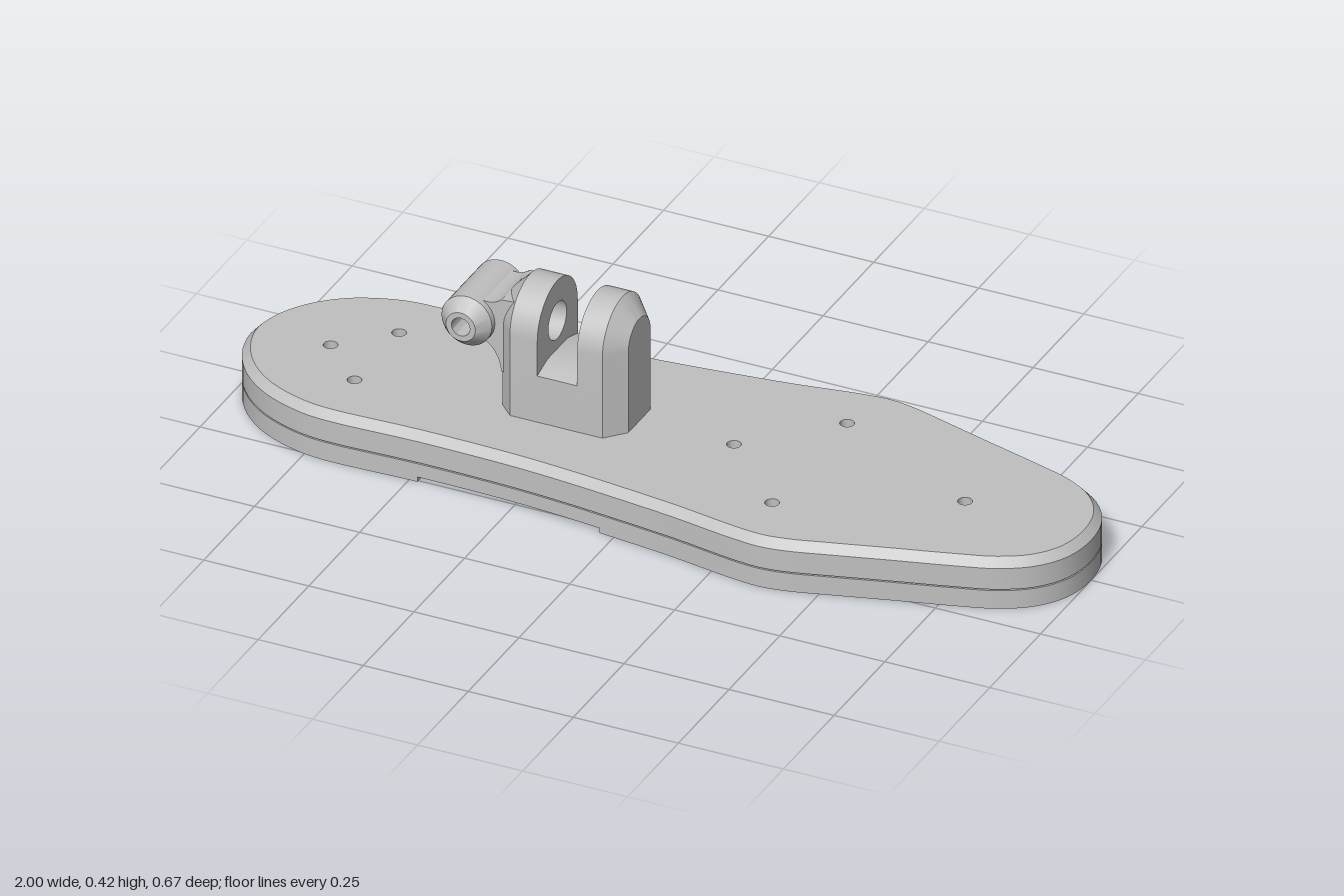
import * as THREE from 'three';
import { toCreasedNormals, mergeGeometries } from 'three/addons/utils/BufferGeometryUtils.js';

const V = (x, y) => new THREE.Vector2(x, y);

// Half of the foot outline as [x, z], toe to heel
const HALF = [[1, 0], [0.985, 0.085], [0.94, 0.15], [0.87, 0.195], [0.78, 0.225], [0.65, 0.262],
  [0.52, 0.3], [0.43, 0.325], [0.37, 0.333], [0.3, 0.327], [0.15, 0.302], [0, 0.283], [-0.12, 0.27],
  [-0.25, 0.26], [-0.48, 0.255], [-0.7, 0.26], [-0.77, 0.25], [-0.86, 0.215], [-0.93, 0.16],
  [-0.98, 0.085], [-1, 0]];
const SCREWS = [[0.15, 0], [0.33, 0.185], [0.33, -0.185], [0.7, 0], [-0.81, 0], [-0.7, 0.11], [-0.7, -0.11]];
const MOUNT_SCREWS = [[-0.3, 0.068], [-0.3, -0.068], [-0.115, 0.068], [-0.115, -0.068]];

function footOutline() {
  const pts = [...HALF, ...HALF.slice(1, -1).reverse().map(([x, z]) => [x, -z])];
  const curve = new THREE.CatmullRomCurve3(pts.map(([x, z]) => new THREE.Vector3(x, z, 0)), true);
  return curve.getPoints(pts.length * 4).slice(0, -1).map(p => V(p.x, p.y));
}

// Move a counter-clockwise outline inwards
function inset(pts, d) {
  const n = pts.length;
  return pts.map((p, i) => {
    const a = p.clone().sub(pts[(i + n - 1) % n]).normalize();
    const b = pts[(i + 1) % n].clone().sub(p).normalize();
    const t = a.clone().add(b).normalize();
    const k = d / Math.max(0.6, t.dot(a));
    return V(p.x - t.y * k, p.y + t.x * k);
  });
}

// Keep the part of a polygon where (p - o) . dir >= 0
function clip(poly, o, dir) {
  const out = [];
  poly.forEach((p, i) => {
    const q = poly[(i + 1) % poly.length];
    const a = p.clone().sub(o).dot(dir), b = q.clone().sub(o).dot(dir);
    if (a >= 0) out.push(p);
    if ((a > 0 && b < 0) || (a < 0 && b > 0)) out.push(p.clone().lerp(q, a / (a - b)));
  });
  return out;
}

// Slab of an outline between two heights, with round holes [x, y, r]
function slab(pts, z0, z1, holes = []) {
  const shape = new THREE.Shape(pts);
  holes.forEach(([x, y, r]) => shape.holes.push(new THREE.Path().absarc(x, y, r, 0, Math.PI * 2, true)));
  const g = new THREE.ExtrudeGeometry(shape, { depth: z1 - z0, bevelEnabled: false, curveSegments: 10 });
  return toCreasedNormals(g.translate(0, 0, z0), 0.5);
}

// Sloped band between two outlines with equal point counts
function band(a, z0, b, z1) {
  const pos = [], n = a.length;
  for (let i = 0; i < n; i++) {
    const j = (i + 1) % n;
    pos.push(a[i].x, a[i].y, z0, a[j].x, a[j].y, z0, b[j].x, b[j].y, z1);
    pos.push(a[i].x, a[i].y, z0, b[j].x, b[j].y, z1, b[i].x, b[i].y, z1);
  }
  const g = new THREE.BufferGeometry();
  g.setAttribute('position', new THREE.Float32BufferAttribute(pos, 3));
  return toCreasedNormals(g, 0.5);
}

// Round-topped upright outline
function arch(r) {
  const pts = [V(-r, 0.115), V(r, 0.115)];
  for (let i = 0; i <= 24; i++) {
    const a = Math.PI * i / 24;
    pts.push(V(r * Math.cos(a), 0.32 + r * Math.sin(a)));
  }
  return pts;
}

// Triangular tread blocks filling a region, leaving grooves between them
function treadBlocks(region, z0, z1) {
  const s = 0.17, h = s * Math.sqrt(3) / 2, gap = 0.009, blocks = [];
  for (let row = -3; row < 3; row++) for (let col = -8; col < 8; col++) for (const up of [true, false]) {
    const x = 0.15 + (col + (row & 1) * 0.5) * s, y = row * h;
    const tri = up ? [V(x, y), V(x + s, y), V(x + s / 2, y + h)]
      : [V(x + s, y), V(x + 1.5 * s, y + h), V(x + s / 2, y + h)];
    const c = tri[0].clone().add(tri[1]).add(tri[2]).divideScalar(3);
    let poly = region;
    tri.forEach((p, i) => {
      const e = tri[(i + 1) % 3].clone().sub(p).normalize(), n = V(-e.y, e.x);
      poly = clip(poly, p.clone().addScaledVector(n, gap), n);
    });
    // Cut corners clear of the screw bosses
    SCREWS.forEach(([hx, hy]) => {
      const d = c.clone().sub(V(hx, hy));
      if (d.length() < 0.15) {
        d.normalize();
        poly = clip(poly, V(hx, hy).addScaledVector(d, 0.04), d);
      }
    });
    if (poly.length > 2 && Math.abs(THREE.ShapeUtils.area(poly)) > 2e-4) blocks.push(slab(poly, z0, z1));
  }
  return blocks;
}

export function createModel() {
  const model = new THREE.Group();
  const grey = new THREE.MeshStandardMaterial({ color: 0xc0c0c0 });
  grey.name = 'grey';
  const add = (name, geometry, parent) => {
    const mesh = new THREE.Mesh(geometry, grey);
    mesh.name = name;
    parent.add(mesh);
    return mesh;
  };
  const withRadius = (list, r) => list.map(([x, y]) => [x, y, r]);

  // Foot plate: sole layer, seam and chamfered deck
  const plate = new THREE.Group();
  plate.name = 'footPlate';
  plate.rotation.x = -Math.PI / 2;
  model.add(plate);
  const foot = footOutline(), top = inset(foot, 0.018);
  const small = withRadius(SCREWS, 0.016), large = withRadius(SCREWS, 0.028);
  add('soleLayer', slab(foot, 0.02, 0.045, [...large, ...withRadius(MOUNT_SCREWS, 0.026)]), plate);
  add('seam', slab(inset(foot, 0.006), 0.045, 0.048, small), plate);
  add('deck', slab(foot, 0.048, 0.1, small), plate);
  add('deckChamfer', band(foot, 0.1, top, 0.12), plate);
  add('deckTop', slab(top, 0.1, 0.12, small), plate);

  // Plain arch area between the two treads
  const arched = clip(clip(foot, V(-0.48, 0), V(1, 0)), V(-0.035, 0), V(-1, 0));
  add('archRecess', slab(arched, 0.012, 0.02, withRadius(MOUNT_SCREWS, 0.026)), plate);

  // Front and heel treads: rim, blocks and screw bosses
  const inner = inset(foot, 0.012);
  for (const [name, edge, side] of [['frontTread', -0.035, 1], ['heelTread', -0.48, -1]]) {
    const outer = clip(foot, V(edge, 0), V(side, 0));
    const region = clip(inner, V(edge + 0.012 * side, 0), V(side, 0));
    const rim = new THREE.Shape(outer);
    rim.holes.push(new THREE.Path(region));
    const parts = [toCreasedNormals(new THREE.ExtrudeGeometry(rim, { depth: 0.02, bevelEnabled: false }), 0.5)];
    parts.push(...treadBlocks(region, 0, 0.02));
    SCREWS.filter(([x]) => (x - edge) * side > 0).forEach(([x, y]) => {
      const ring = new THREE.Path().absarc(x, y, 0.038, 0, Math.PI * 2).getPoints(10).slice(0, -1);
      parts.push(slab(ring, 0, 0.02, [[x, y, 0.028]]));
    });
    add(name, mergeGeometries(parts), plate);
  }

  // Forked mount, extruded along x
  const mount = new THREE.Group();
  mount.name = 'forkMount';
  mount.rotation.y = Math.PI / 2;
  model.add(mount);
  const full = arch(0.1), frontFace = arch(0.055), rearFace = arch(0.065), bore = [[0, 0.32, 0.045]];
  add('rearProng', slab(full, -0.335, -0.27, bore), mount);
  add('frontProng', slab(full, -0.175, -0.115, bore), mount);
  add('frontProngChamfer', band(full, -0.115, frontFace, -0.075), mount);
  add('frontProngFace', slab(frontFace, -0.115, -0.075), mount);
  add('rearProngChamfer', band(rearFace, -0.37, full, -0.335), mount);
  const pins = [];
  for (const z of [-0.025, 0.025]) for (const y of [0.145, 0.19]) pins.push([z, y, 0.009]);
  add('rearProngFace', slab(rearFace, -0.37, -0.335, pins), mount);
  const floor = [V(-0.1, 0.115), V(0.1, 0.115), V(0.1, 0.235), V(0.05, 0.25), V(-0.05, 0.25), V(-0.1, 0.235)];
  add('slotFloor', slab(floor, -0.27, -0.175), mount);

  // Rear hinge: bored barrel and the neck joining it to the mount
  const profile = [V(0.022, -0.115), V(0.035, -0.115), V(0.06, -0.085), V(0.06, 0.085),
    V(0.035, 0.115), V(0.022, 0.115), V(0.022, -0.115)];
  const barrel = add('hingeBarrel', toCreasedNormals(new THREE.LatheGeometry(profile, 32), 0.5), model);
  barrel.rotation.x = Math.PI / 2;
  barrel.position.set(-0.445, 0.32, 0);
  const neck = new THREE.Shape();
  neck.moveTo(-0.42, 0.37);
  neck.lineTo(-0.412, 0.275);
  neck.quadraticCurveTo(-0.375, 0.255, -0.37, 0.205);
  neck.lineTo(-0.34, 0.205);
  neck.lineTo(-0.34, 0.385);
  neck.lineTo(-0.37, 0.383);
  neck.quadraticCurveTo(-0.39, 0.365, -0.42, 0.372);
  const neckGeo = new THREE.ExtrudeGeometry(neck, { depth: 0.14, bevelEnabled: false, curveSegments: 10 });
  add('hingeNeck', toCreasedNormals(neckGeo.translate(0, 0, -0.07), 0.5), model);

  return model;
}
